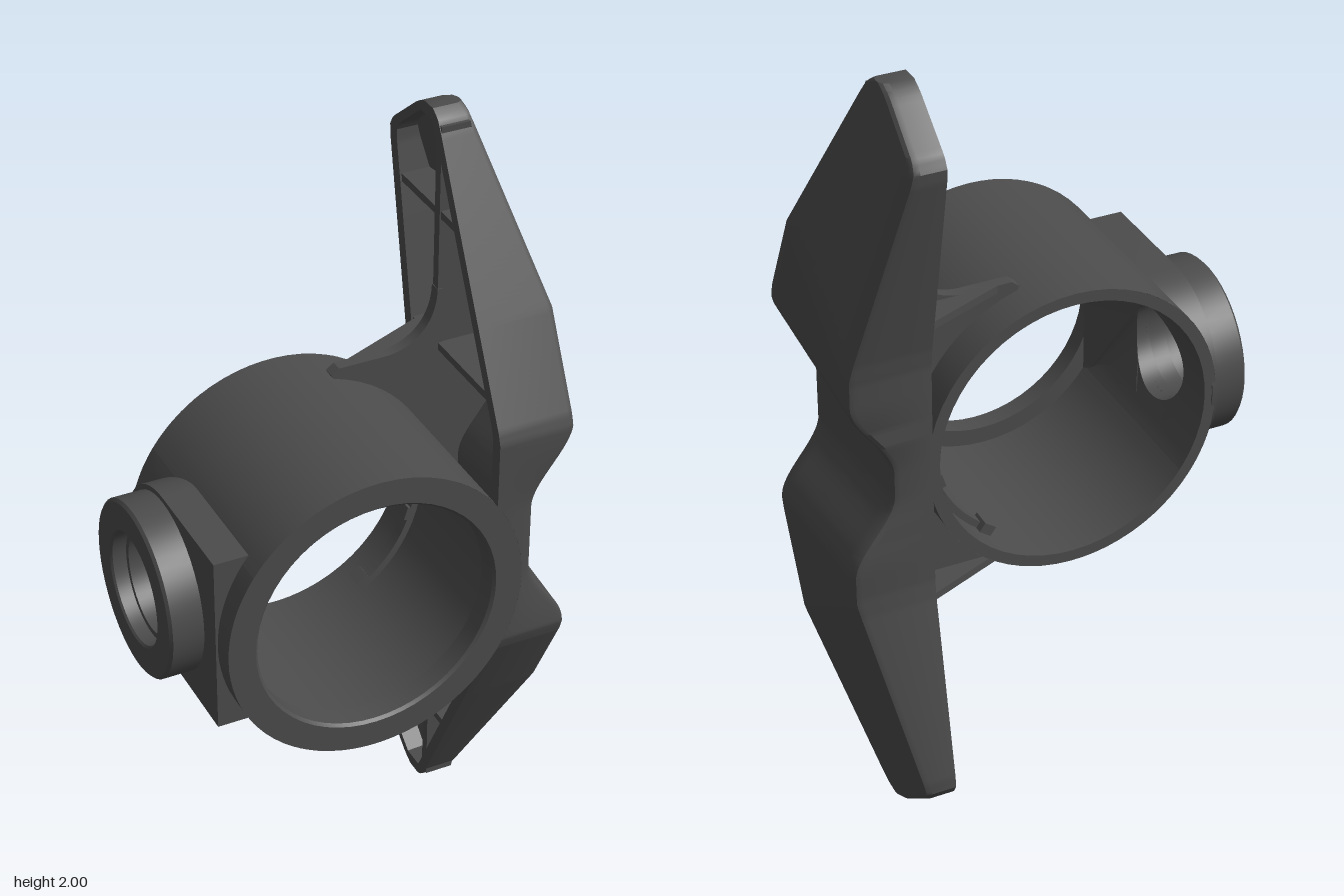
import * as THREE from 'three';
import { toCreasedNormals } from 'three/addons/utils/BufferGeometryUtils.js';

const CX = -0.06, CY = 1, R = 0.38, BORE = 0.35; // collar centre and radii
const BOSS_Z = 0.0125, HOLE = 0.125, SECTOR = 0.6;

const V = (a) => a.map(([x, y]) => new THREE.Vector2(x, y));

// piecewise linear lookup
function lerpTable(t, d) {
  let i = 1;
  while (i < t.length - 1 && d > t[i][0]) i++;
  const [a, b] = [t[i - 1], t[i]];
  return THREE.MathUtils.mapLinear(Math.min(d, b[0]), a[0], b[0], a[1], b[1]);
}

// handle outline and outer face, by distance d from mid height
const FRONT = [[0, 0.235], [0.29, 0.235], [0.32, 0.225], [0.95, -0.095], [0.985, -0.115], [1, -0.14]];
const BACK = [[0, -0.248], [0.3, -0.25], [0.35, -0.256], [0.83, -0.352], [0.86, -0.354], [0.885, -0.34], [0.985, -0.215], [1, -0.185]];
const zFront = (d) => lerpTable(FRONT, d);
const zBack = (d) => lerpTable(BACK, d);
function outerX(d, z) {
  const slope = 0.525 - 0.2 * Math.max(0, d - (0.31 + (z + 0.25) * 0.68));
  const valley = 0.42 + 0.105 * THREE.MathUtils.smoothstep(d - 0.12 * z, 0.06, 0.27);
  return Math.min(slope, valley);
}

function fromTriangles(pos) {
  const g = new THREE.BufferGeometry();
  g.setAttribute('position', new THREE.Float32BufferAttribute(pos, 3));
  return toCreasedNormals(g, 0.5);
}

// hollow handle: one closed cross-section loop per height
function handleGeometry() {
  const X0 = 0.32, N = 12, WALL = 0.035, ROUND = 0.018;
  const section = (y) => {
    const d = Math.abs(y - 1), zf = zFront(d), zb = zBack(d), solid = d > 0.968;
    const p = [];
    const out = (z, drop) => p.push([outerX(d, z) - drop, y, z]);
    p.push([X0, y, zf]);
    out(zf, ROUND);
    out(zf - ROUND * 0.3, ROUND * 0.3);
    for (let i = 0; i <= N; i++) out(THREE.MathUtils.lerp(zf - ROUND, zb + ROUND, i / N), 0);
    out(zb + ROUND * 0.3, ROUND * 0.3);
    out(zb, ROUND);
    p.push([X0, y, zb]);
    const w = Math.min(WALL, (zf - zb) * 0.4), a = zb + w, b = zf - w;
    p.push([X0, y, a]);
    for (let i = 0; i <= N; i++) {
      const z = THREE.MathUtils.lerp(a, b, i / N);
      p.push([solid ? X0 : outerX(d, z) - 0.03, y, z]);
    }
    p.push([X0, y, b]);
    return p;
  };
  const ys = [];
  for (let i = 0; i <= 200; i++) ys.push(i / 100);
  ys.push(0.0315, 0.0325, 1.9675, 1.9685);
  ys.sort((a, b) => a - b);
  const rows = ys.map(section), pos = [];
  const tri = (...v) => v.forEach((q) => pos.push(...q));
  for (let i = 0; i < rows.length - 1; i++) {
    const lo = rows[i], hi = rows[i + 1], n = lo.length;
    for (let j = 0; j < n; j++) {
      const k = (j + 1) % n;
      tri(lo[j], lo[k], hi[k]);
      tri(lo[j], hi[k], hi[j]);
    }
  }
  const bottom = rows[0], top = rows[rows.length - 1];
  for (let j = 1; j < top.length - 1; j++) {
    tri(top[0], top[j], top[j + 1]);
    tri(bottom[0], bottom[j + 1], bottom[j]);
  }
  return fromTriangles(pos);
}

// lathe around the collar axis (points are radius, z)
function collarLathe(points, start = 0, length = Math.PI * 2) {
  const g = new THREE.LatheGeometry(V(points), 56, start, length);
  g.rotateX(Math.PI / 2).translate(CX, CY, 0);
  return toCreasedNormals(g, 0.5);
}

// curved wall patch with the round side hole
function wallPatch(r, z0, z1) {
  const n = 16, K = 6, edge = [], pos = [];
  const corners = [[-SECTOR, z0], [SECTOR, z0], [SECTOR, z1], [-SECTOR, z1]];
  corners.forEach((c, i) => {
    const e = corners[(i + 1) % 4];
    for (let k = 0; k < n; k++) edge.push([c[0] + (e[0] - c[0]) * k / n, c[1] + (e[1] - c[1]) * k / n]);
  });
  const point = (i, k) => {
    const [t, z] = edge[i % edge.length], a = Math.atan2(z - BOSS_Z, t * r), s = k / K;
    const tt = THREE.MathUtils.lerp(Math.asin(HOLE * Math.cos(a) / r), t, s);
    const zz = THREE.MathUtils.lerp(BOSS_Z + HOLE * Math.sin(a), z, s);
    return [CX - r * Math.cos(tt), CY + r * Math.sin(tt), zz];
  };
  const inward = r < 0.37;
  for (let i = 0; i < edge.length; i++) for (let k = 0; k < K; k++) {
    const a = point(i, k), b = point(i + 1, k), c = point(i + 1, k + 1), d = point(i, k + 1);
    const q = inward ? [a, d, c, a, c, b] : [a, c, d, a, b, c];
    q.forEach((v) => pos.push(...v));
  }
  return fromTriangles(pos);
}

// D-shaped pad whose inner end follows the collar
function padGeometry() {
  const h = 0.235, s = new THREE.Shape();
  s.moveTo(0.3, -h);
  s.lineTo(0.3, h);
  s.lineTo(BOSS_Z, h);
  s.absarc(BOSS_Z, 0, h, Math.PI / 2, Math.PI * 1.5, false);
  s.closePath();
  s.holes.push(new THREE.Path().absarc(BOSS_Z, 0, HOLE, 0, Math.PI * 2, true));
  const g = new THREE.ExtrudeGeometry(s, { depth: 1, bevelEnabled: false, curveSegments: 32 });
  g.rotateY(-Math.PI / 2);
  const p = g.attributes.position;
  for (let i = 0; i < p.count; i++) {
    const y = p.getY(i), atHole = Math.hypot(y, p.getZ(i) - BOSS_Z) < HOLE + 0.01;
    const r = atHole ? 0.352 : 0.37;
    p.setXYZ(i, p.getX(i) < -0.5 ? -0.445 : CX - Math.sqrt(r * r - y * y), y + CY, p.getZ(i));
  }
  return toCreasedNormals(g, 0.5);
}

// horizontal plate from (x, z) corners, centred on height y
function plate(corners, y, t) {
  const s = new THREE.Shape(V(corners.map(([x, z]) => [x, -z])));
  const g = new THREE.ExtrudeGeometry(s, { depth: t, bevelEnabled: false });
  return g.rotateX(-Math.PI / 2).translate(0, y - t / 2, 0);
}

export function createModel() {
  const group = new THREE.Group();
  const mat = new THREE.MeshStandardMaterial({ color: 0x4c4c4c, side: THREE.DoubleSide });
  mat.name = 'dark grey plastic';
  const add = (name, geo) => {
    const m = new THREE.Mesh(geo, mat);
    m.name = name;
    group.add(m);
    return m;
  };

  // collar
  const start = Math.PI * 1.5 + SECTOR, len = Math.PI * 2 - 2 * SECTOR;
  add('collarOuterWall', collarLathe([[R, -0.22], [R, 0.36]], start, len));
  add('collarInnerWall', collarLathe([[BORE, 0.3], [BORE, -0.22]], start, len));
  add('collarFrontLip', collarLathe([[R, 0.36], [0.312, 0.36], [0.305, 0.353], [0.305, 0.3], [BORE, 0.3]]));
  add('collarBackRim', collarLathe([[BORE, -0.22], [R, -0.22]]));
  add('collarOuterPatch', wallPatch(R, -0.22, 0.36));
  add('collarInnerPatch', wallPatch(BORE, -0.22, 0.3));

  // inner ridge with end clips
  add('innerRidge', collarLathe([[0.355, -0.13], [0.355, -0.1], [0.332, -0.1], [0.332, -0.13], [0.355, -0.13]], Math.PI / 2 - 0.9, 1.8));
  for (const a of [-0.95, -0.3, 0.3, 0.95]) {
    const clip = add('ridgeClip', new THREE.BoxGeometry(0.03, 0.035, 0.05));
    clip.position.set(CX + 0.338 * Math.cos(a), CY + 0.338 * Math.sin(a), -0.125);
    clip.rotation.z = a;
  }

  // side boss
  add('bossPad', padGeometry());
  const boss = new THREE.LatheGeometry(V([[0.222, 0], [0.222, 0.078], [0.215, 0.085], [0.145, 0.085], [0.14, 0.08], [0.14, 0.045], [HOLE, 0.045], [HOLE, 0]]), 48);
  boss.rotateZ(Math.PI / 2).translate(-0.445, CY, BOSS_Z);
  add('sideBoss', toCreasedNormals(boss, 0.5));

  // handle shell
  add('handle', handleGeometry());

  // web joining collar and handle
  const w = new THREE.Shape();
  w.moveTo(0.04, 1.375);
  w.lineTo(0.06, 1.39);
  w.lineTo(0.18, 1.39);
  w.bezierCurveTo(0.26, 1.39, 0.32, 1.45, 0.32, 1.54);
  w.lineTo(0.335, 1.54);
  w.lineTo(0.335, 0.46);
  w.lineTo(0.32, 0.46);
  w.bezierCurveTo(0.32, 0.55, 0.26, 0.61, 0.18, 0.61);
  w.lineTo(0.06, 0.61);
  w.lineTo(0.04, 0.625);
  w.absarc(CX, CY, 0.372, -1.27, 1.27, false);
  const web = new THREE.ExtrudeGeometry(w, { depth: 0.03, bevelEnabled: false, curveSegments: 24 });
  add('web', toCreasedNormals(web.translate(0, 0, -0.125), 0.5));

  // long rib inside the handle
  const rib = [[0.322, 1.97], [0.322, 0.03]];
  for (let i = 0; i <= 97; i++) {
    const y = 0.03 + i * 0.02;
    rib.push([outerX(Math.abs(y - 1), -0.11) - 0.015, y]);
  }
  const spine = new THREE.ExtrudeGeometry(new THREE.Shape(V(rib)), { depth: 0.025, bevelEnabled: false });
  add('spineRib', spine.translate(0, 0, -0.1225));

  // triangular braces and cross ribs, mirrored above and below
  for (const side of [1, -1]) {
    add('brace', plate([[0.06, -0.11], [0.325, -0.11], [0.325, -0.22]], CY + side * 0.38, 0.02));
    for (const d of [0.38, 0.74]) {
      const a = zBack(d) + 0.02, b = zFront(d) - 0.02;
      const pts = [[0.325, a], [0.325, b], [outerX(d, b) - 0.015, b], [outerX(d, a) - 0.015, a]];
      add('crossRib', plate(pts, CY + side * d, 0.02));
    }
  }
  return group;
}
